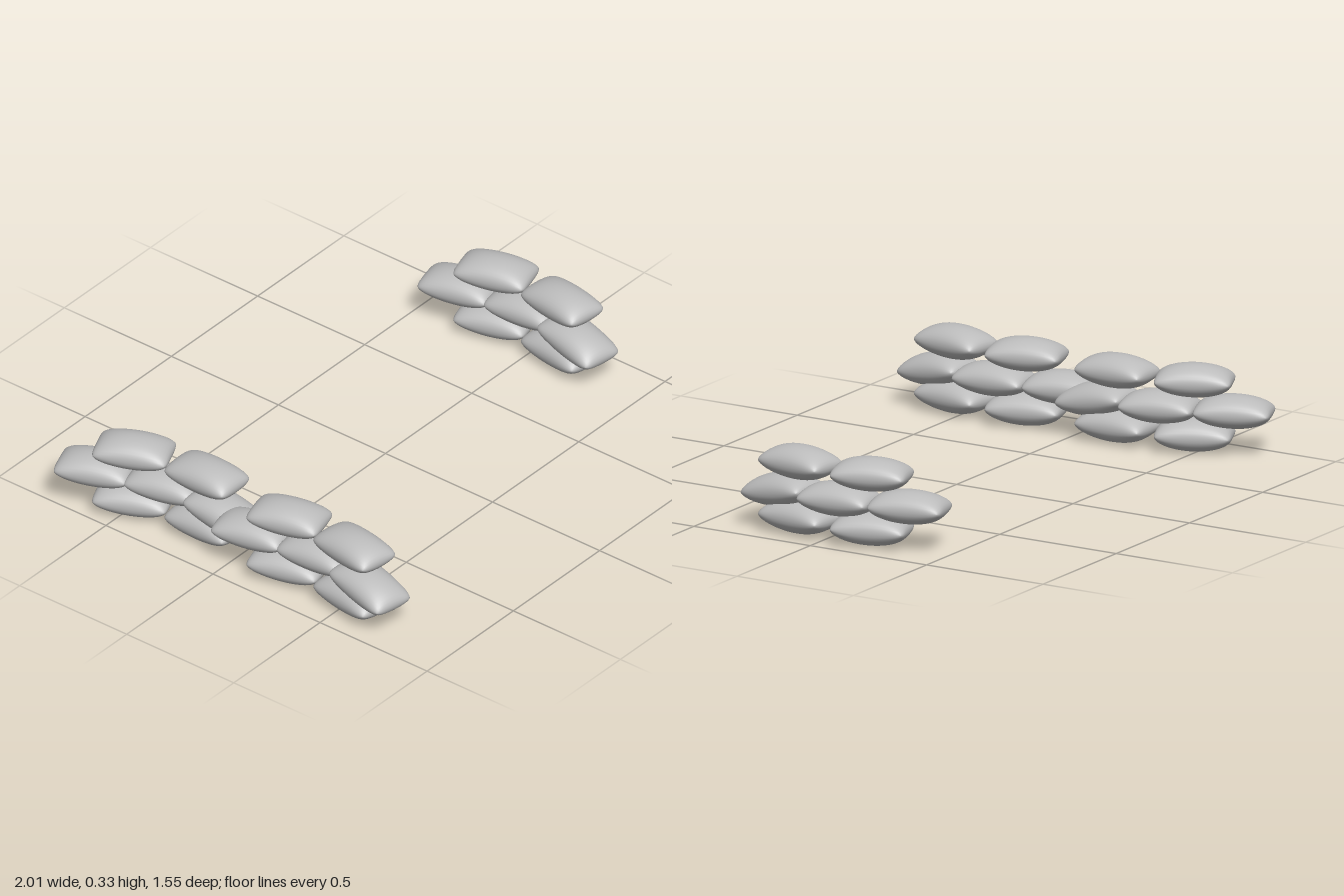
import * as THREE from 'three';
import { mergeGeometries, mergeVertices } from 'three/addons/utils/BufferGeometryUtils.js';

// Stuffed bag: two bulged sheets joined along a rounded rectangular seam
function bagGeometry(width, height, length) {
  const sheet = (side) => {
    const g = new THREE.PlaneGeometry(2, 2, 18, 22);
    g.rotateX(-side * Math.PI / 2);
    const p = g.attributes.position;
    for (let i = 0; i < p.count; i++) {
      const a = p.getX(i) * Math.PI / 2, b = p.getZ(i) * Math.PI / 2;
      const u = Math.sin(a), v = Math.sin(b);
      const bulge = Math.pow(Math.max(0, Math.cos(a) * Math.cos(b)), 0.92);
      p.setXYZ(i,
        u * (1 - 0.1 * v ** 8) * width / 2,
        side * (bulge < 1e-6 ? 0 : bulge) * height / 2,
        v * (1 - 0.06 * u ** 8) * length / 2);
    }
    g.deleteAttribute('uv');
    g.deleteAttribute('normal');
    return g;
  };
  const bag = mergeVertices(mergeGeometries([sheet(1), sheet(-1)]), 1e-5);
  bag.computeVertexNormals();
  return bag;
}

export function createModel() {
  const root = new THREE.Group();
  root.name = 'sandbagWalls';
  const grey = new THREE.MeshStandardMaterial({ color: 0xbcbcbc });
  grey.name = 'grey';
  const geometry = bagGeometry(0.178, 0.125, 0.284);
  const deg = Math.PI / 180;

  // One curved stack: name, x, y, z, yaw, pitch
  const bags = [
    ['bottomBagBack', 0, 0.063, -0.155, 15.5, 0],
    ['bottomBagFront', -0.003, 0.063, 0.155, -8, 0],
    ['middleBagBack', -0.027, 0.158, -0.3, 13, 0],
    ['middleBagCentre', 0.015, 0.158, -0.025, 5, 0],
    ['middleBagFront', -0.022, 0.147, 0.243, -9, 9],
    ['topBagBack', 0, 0.267, -0.155, 15.5, 0],
    ['topBagFront', -0.003, 0.267, 0.155, -8, 0],
  ];

  // The stack repeated: x, z, turn
  const stacks = [
    ['leftStack', 0.865, -0.025, 0],
    ['rightFrontStack', -0.842, 0.382, -1],
    ['rightBackStack', -0.838, -0.328, 8],
  ];
  for (const [stackName, sx, sz, turn] of stacks) {
    const stack = new THREE.Group();
    stack.name = stackName;
    stack.position.set(sx, 0, sz);
    stack.rotation.y = turn * deg;
    for (const [name, x, y, z, yaw, pitch] of bags) {
      const bag = new THREE.Mesh(geometry, grey);
      bag.name = name;
      bag.position.set(x, y, z);
      bag.rotation.set(pitch * deg, yaw * deg, 0, 'YXZ');
      stack.add(bag);
    }
    root.add(stack);
  }
  return root;
}
